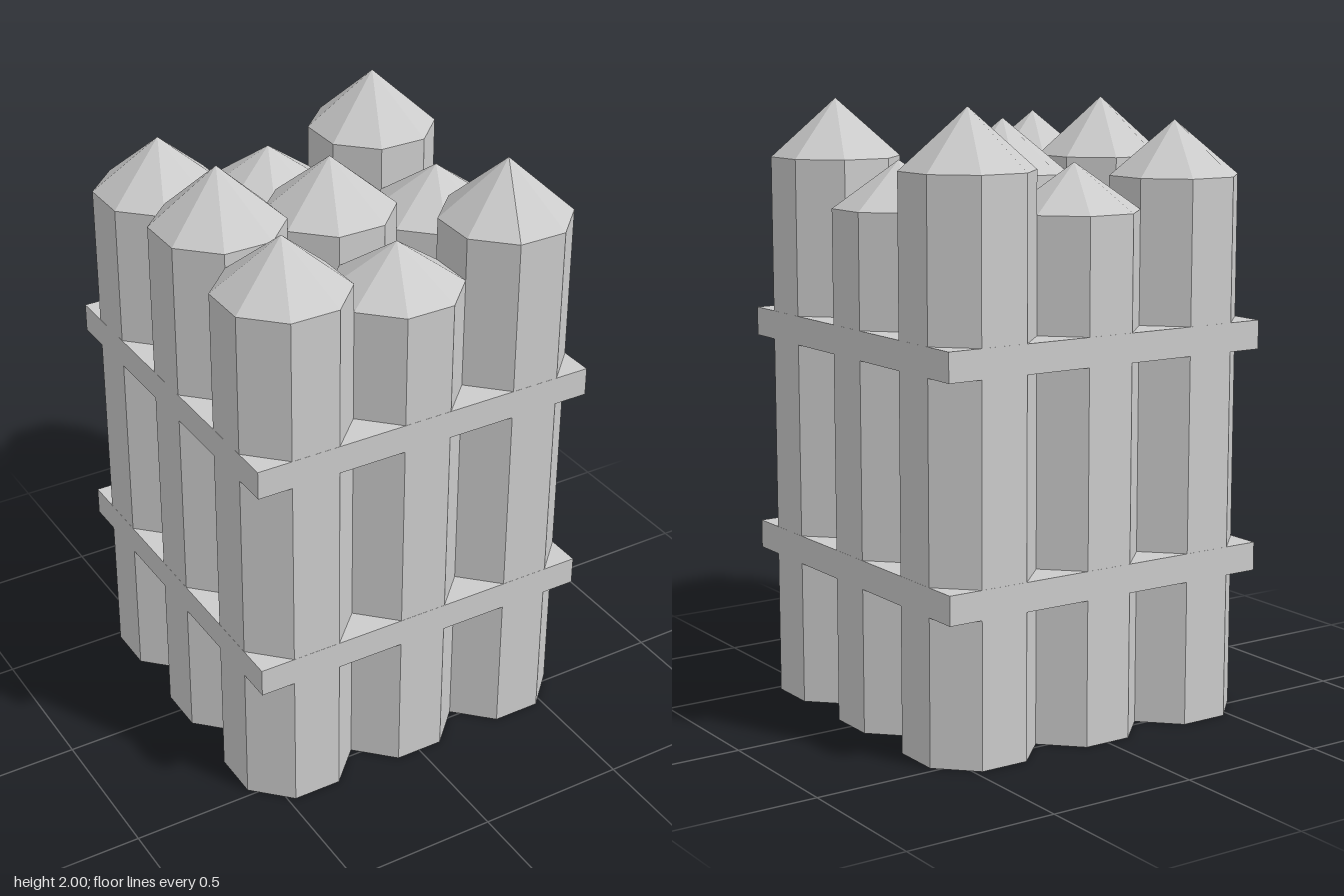
import * as THREE from 'three';

export function createModel() {
  const model = new THREE.Group();
  const material = new THREE.MeshStandardMaterial({ color: 0xcccccc, flatShading: true });
  const apothem = 0.197;
  const spacing = apothem * 2;
  const radius = apothem / Math.cos(Math.PI / 8);

  const add = (parent, name, geometry, y) => {
    const mesh = new THREE.Mesh(geometry, material);
    mesh.name = name;
    mesh.position.y = y;
    parent.add(mesh);
  };

  // Octagonal stake: flat sides face the axes, pyramid point on top
  const addStake = (x, z, [eave, apex]) => {
    const stake = new THREE.Group();
    stake.name = 'stake';
    stake.position.set(x, 0, z);
    stake.rotation.y = Math.PI / 8;
    add(stake, 'stakeShaft', new THREE.CylinderGeometry(radius, radius, eave, 8), eave / 2);
    add(stake, 'stakePoint', new THREE.ConeGeometry(radius, apex - eave, 8, 1, true), (eave + apex) / 2);
    model.add(stake);
  };

  // Three stake heights [eave, apex], rows from back to front, columns along +x
  const tall = [1.81, 2.0], mid = [1.765, 1.94], low = [1.67, 1.82];
  const rows = [
    [mid, low, tall],
    [tall, mid, low],
    [mid, low, tall],
  ];
  rows.forEach((row, r) => row.forEach((size, c) =>
    addStake((c - 1) * spacing, (r - 1) * spacing, size)));

  // Two square cross plates binding the stakes together
  const side = apothem * 6 + 0.001;
  for (const y of [0.523, 1.256]) {
    add(model, 'bindingPlate', new THREE.BoxGeometry(side, 0.094, side), y);
  }

  return model;
}
